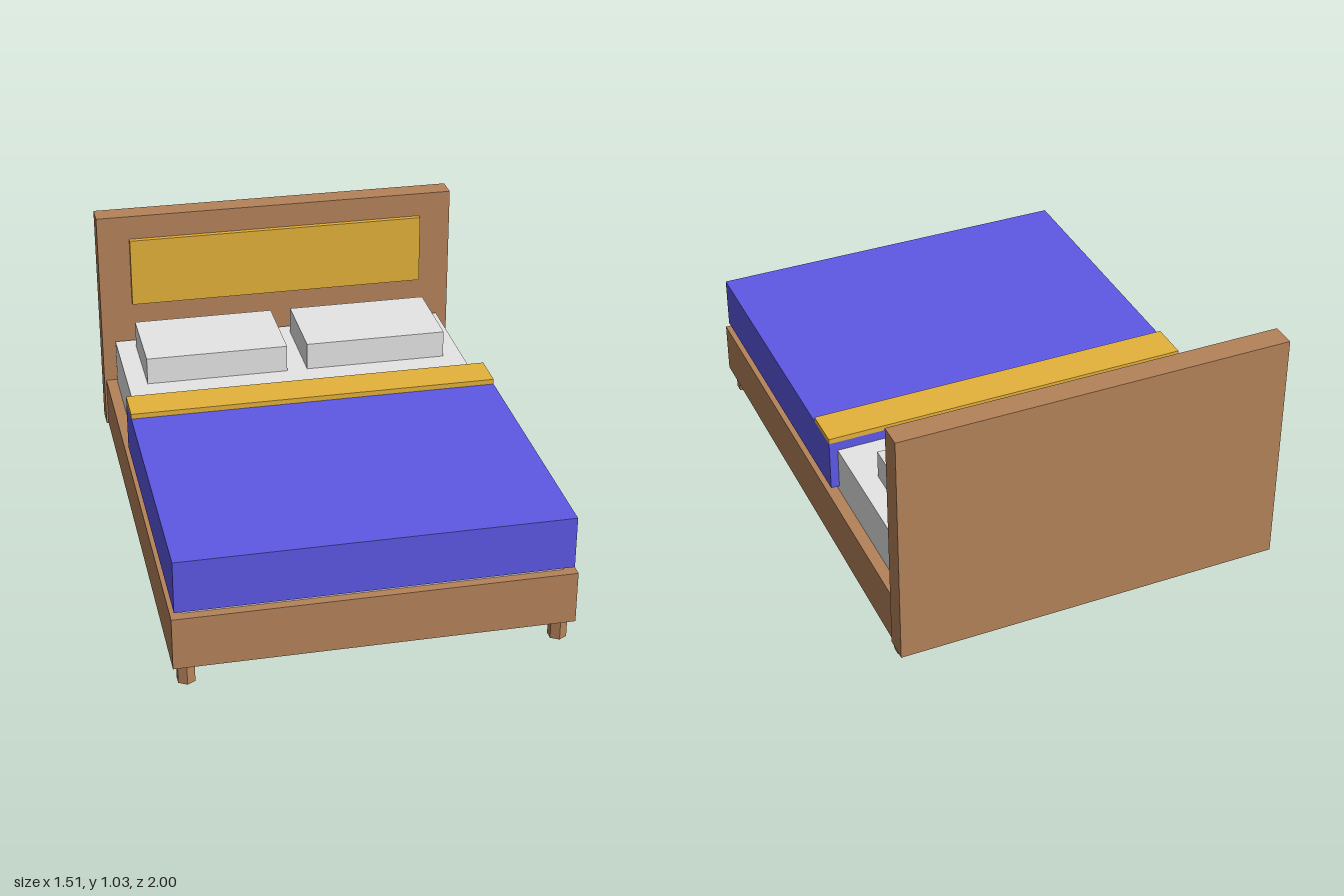
import * as THREE from 'three';

const mat = (name, color) => {
  const m = new THREE.MeshStandardMaterial({ color });
  m.name = name;
  return m;
};

export function createModel() {
  const bed = new THREE.Group();
  bed.name = 'bed';

  const wood = mat('brown wood', 0xb5835a);
  const gold = mat('gold fabric', 0xe5b23a);
  const linen = mat('off white linen', 0xe6e6e6);
  const blue = mat('violet blue blanket', 0x5e58e6);

  // Box given by its extents along each axis
  const box = (name, material, [x0, x1], [y0, y1], [z0, z1]) => {
    const mesh = new THREE.Mesh(new THREE.BoxGeometry(x1 - x0, y1 - y0, z1 - z0), material);
    mesh.position.set((x0 + x1) / 2, (y0 + y1) / 2, (z0 + z1) / 2);
    mesh.name = name;
    bed.add(mesh);
  };

  // Frame and headboard
  box('baseFrame', wood, [-0.747, 0.747], [0.083, 0.29], [-0.907, 1]);
  box('headboard', wood, [-0.755, 0.755], [0.083, 1.035], [-1, -0.907]);
  box('headboardPanel', gold, [-0.622, 0.622], [0.645, 0.934], [-0.907, -0.885]);

  // Bedding
  box('mattress', linen, [-0.702, 0.702], [0.29, 0.48], [-0.885, 0.963]);
  box('blanket', blue, [-0.735, 0.735], [0.312, 0.518], [-0.254, 0.99]);
  box('blanketFold', gold, [-0.735, 0.735], [0.518, 0.539], [-0.254, -0.098]);
  box('leftPillow', linen, [0.042, 0.622], [0.48, 0.592], [-0.823, -0.463]);
  box('rightPillow', linen, [-0.622, -0.042], [0.48, 0.592], [-0.823, -0.463]);

  // Six-sided legs
  const legGeometry = new THREE.CylinderGeometry(0.036, 0.036, 0.083, 6).toNonIndexed();
  legGeometry.computeVertexNormals();
  for (const [side, x] of [['left', 0.695], ['right', -0.695]]) {
    for (const [end, z] of [['Front', 0.95], ['Back', -0.873]]) {
      const leg = new THREE.Mesh(legGeometry, wood);
      leg.name = `${side}${end}Leg`;
      leg.position.set(x, 0.0415, z);
      bed.add(leg);
    }
  }
  return bed;
}
